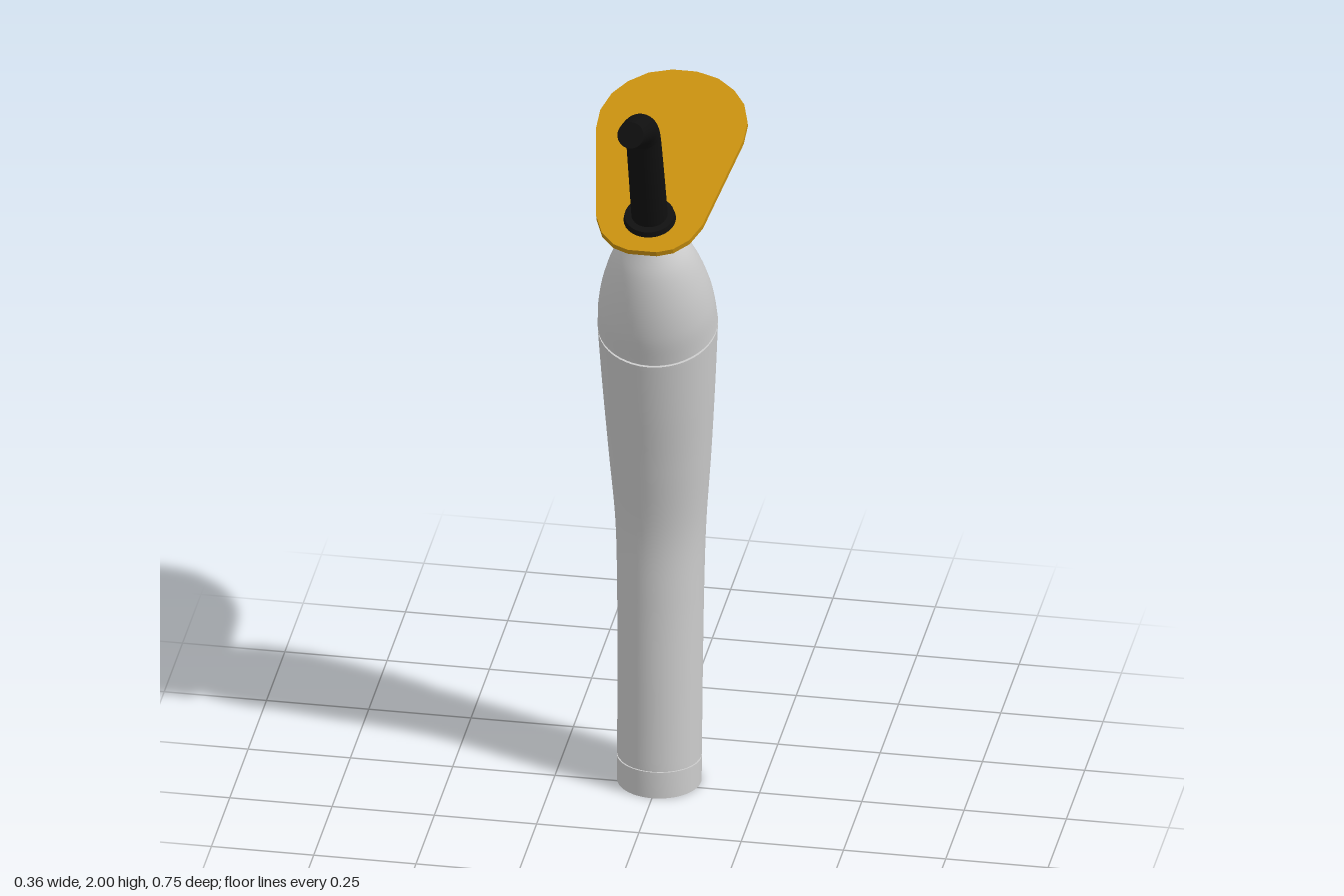
import * as THREE from 'three';

const TILT = 0.309; // lean of the neck, shield and tip towards the front
const SEGS = 48;

const paint = (color) => new THREE.MeshStandardMaterial({ color, roughness: 0.6 });

// A section is [front z, front y, back z, back y, half width]; smooth curves run through them.
function makeSkin(sections) {
  const curve = (k) => new THREE.CatmullRomCurve3(
    sections.map((s) => new THREE.Vector3(s[4], s[k + 1], s[k])), false, 'catmullrom', 0.5);
  const front = curve(0), back = curve(2);
  return {
    backY: (t) => back.getPoint(t).y,
    width: (t) => back.getPoint(t).x,
    center: (t) => front.getPoint(t).add(back.getPoint(t)).multiplyScalar(0.5).setX(0),
    point(t, a) {
      const f = front.getPoint(t), c = this.center(t);
      return new THREE.Vector3(f.x * Math.sin(a),
        c.y + (f.y - c.y) * Math.cos(a), c.z + (f.z - c.z) * Math.cos(a));
    },
  };
}

function makeGeometry(points, index) {
  const g = new THREE.BufferGeometry().setFromPoints(points);
  g.setIndex(index);
  g.computeVertexNormals();
  return g;
}

// Closed solid swept through the sections, with flat end caps.
function loft(skin, rows) {
  const pts = [], idx = [];
  const ring = (t) => {
    for (let j = 0; j < SEGS; j++) pts.push(skin.point(t, (j / SEGS) * Math.PI * 2));
  };
  for (let i = 0; i <= rows; i++) ring(i / rows);
  for (let i = 0; i < rows; i++) {
    for (let j = 0; j < SEGS; j++) {
      const k = (j + 1) % SEGS, a = i * SEGS, b = a + SEGS;
      idx.push(a + j, a + k, b + j, a + k, b + k, b + j);
    }
  }
  for (const t of [0, 1]) {
    const s = pts.length;
    ring(t);
    pts.push(skin.center(t));
    for (let j = 0; j < SEGS; j++) {
      const k = (j + 1) % SEGS;
      idx.push(s + SEGS, s + (t ? j : k), s + (t ? k : j));
    }
  }
  return makeGeometry(pts, idx);
}

// Raised patch that follows the back of a skin; widthAt(u) is its half width, u = 0 bottom to 1 top.
function patch(skin, x0, y0, y1, widthAt, base, height, power) {
  const N = 28, pts = [], idx = [];
  for (let i = 0; i <= N; i++) {
    const u = i / N, y = y0 + (y1 - y0) * u;
    let lo = 0, hi = 1;
    for (let n = 0; n < 24; n++) {
      const mid = (lo + hi) / 2;
      if (skin.backY(mid) < y) lo = mid; else hi = mid;
    }
    const c = skin.center(lo), r = skin.width(lo);
    for (let j = 0; j <= N; j++) {
      const s = (j / N) * 2 - 1;
      const x = x0 - s * widthAt(u);
      const p = skin.point(lo, Math.PI - Math.asin(x / r));
      const edge = Math.max(Math.abs(s), Math.abs(2 * u - 1));
      const out = p.clone().sub(c).setY(0).normalize();
      pts.push(p.addScaledVector(out, base + height * (1 - edge ** power)));
    }
  }
  for (let i = 0; i < N; i++) {
    for (let j = 0; j < N; j++) {
      const a = i * (N + 1) + j, b = a + N + 1;
      idx.push(a, a + 1, b, a + 1, b + 1, b);
    }
  }
  return makeGeometry(pts, idx);
}

// Round section given by centre, lean and radius.
const roundSection = (z, y, a, r) => [
  z + r * Math.cos(a), y - r * Math.sin(a), z - r * Math.cos(a), y + r * Math.sin(a), r];

export function createModel() {
  const model = new THREE.Group();
  const grey = paint(0xcccccc), black = paint(0x101010), amber = paint(0xc8900f);
  const teal = paint(0x86d4dc), tealDark = paint(0x6bb3bb), glass = paint(0x2c2c2c), button = paint(0x686d88);
  const add = (name, geometry, material, parent = model) => {
    const mesh = new THREE.Mesh(geometry, material);
    mesh.name = name;
    parent.add(mesh);
    return mesh;
  };

  // Handle: end cap, long bent grip and domed head, with narrow seams between
  const grip = makeSkin([
    [0.071, 0.075, -0.133, 0.065, 0.102],
    [0.064, 0.3, -0.142, 0.3, 0.103],
    [0.056, 0.52, -0.149, 0.52, 0.105],
    [0.055, 0.7, -0.153, 0.7, 0.11],
    [0.08, 0.89, -0.155, 0.9, 0.124],
    [0.108, 1.06, -0.152, 1.11, 0.136],
    [0.132, 1.21, -0.148, 1.296, 0.145],
  ]);
  add('grip', loft(grip, 60), grey);
  add('endCap', loft(makeSkin([
    [0.073, 0, -0.131, 0, 0.102], [0.072, 0.07, -0.132, 0.06, 0.102]]), 2), grey);
  add('lowerSeam', loft(makeSkin([
    [0.068, 0.06, -0.128, 0.05, 0.098], [0.068, 0.085, -0.128, 0.075, 0.098]]), 1), grey);
  add('upperSeam', loft(makeSkin([
    [0.126, 1.2, -0.142, 1.285, 0.139], [0.128, 1.23, -0.139, 1.312, 0.139]]), 1), grey);
  add('domedHead', loft(makeSkin([
    [0.133, 1.216, -0.148, 1.302, 0.145],
    [0.15, 1.295, -0.123, 1.375, 0.139],
    [0.156, 1.38, -0.084, 1.445, 0.122],
    [0.15, 1.46, -0.033, 1.512, 0.094],
    [0.13, 1.53, 0.034, 1.562, 0.05],
  ]), 32), grey);

  // Control panel on the back
  const panelWidth = (w) => (u) => w * Math.min(1, Math.sqrt(u / 0.42), 0.84 + (1 - u) * 5);
  add('panelRim', patch(grip, 0, 0.8, 1.255, panelWidth(0.082), -0.002, 0.007, 40), teal);
  add('panelFace', patch(grip, 0, 0.815, 1.245, panelWidth(0.072), 0.002, 0.005, 40), tealDark);
  add('screen', patch(grip, 0, 1.05, 1.232, () => 0.054, 0.004, 0.005, 40), glass);
  const disc = (u) => 0.023 * Math.sqrt(Math.max(0, 1 - (2 * u - 1) ** 2));
  for (const side of [-1, 1]) {
    add(side > 0 ? 'leftButton' : 'rightButton',
      patch(grip, side * 0.034, 0.95, 0.996, disc, 0.005, 0.009, 4), button);
  }
  const wedge = (u) => 0.044 * Math.min(u ** 0.6, 2.2 * Math.sqrt(Math.max(0, 1 - u)));
  add('mainButton', patch(grip, 0, 0.83, 0.925, wedge, 0.005, 0.009, 4), button);

  // Neck, collar and light shield share the lean of the tip
  const top = new THREE.Group();
  top.name = 'neckAssembly';
  top.position.set(0, 1.594, 0.1);
  top.rotation.x = TILT;
  model.add(top);
  add('neck', new THREE.CylinderGeometry(0.048, 0.05, 0.07, 32), grey, top).position.y = -0.04;
  add('collar', new THREE.CylinderGeometry(0.06, 0.068, 0.034, 32), black, top).position.y = 0.004;

  // Shield outline: half of it, mirrored
  const half = [[0.03, -0.376], [0.085, -0.36], [0.13, -0.327], [0.162, -0.285], [0.18, -0.23],
    [0.18, -0.172], [0.13, 0.105], [0.107, 0.157], [0.073, 0.19], [0.035, 0.204]]
    .map(([x, z]) => new THREE.Vector2(x, (z - 0.1) / Math.cos(TILT)));
  const mirrored = half.map((p) => new THREE.Vector2(-p.x, p.y)).reverse();
  const shield = new THREE.ExtrudeGeometry(new THREE.Shape([...half, ...mirrored]),
    { depth: 0.014, bevelEnabled: false });
  shield.rotateX(Math.PI / 2).translate(0, 0.007, 0);
  add('lightShield', shield, amber, top);

  // Bent, tapering light guide
  add('lightGuide', loft(makeSkin([
    roundSection(0.1, 1.6, TILT, 0.044),
    roundSection(0.147, 1.745, TILT, 0.043),
    roundSection(0.186, 1.858, 0.36, 0.042),
    roundSection(0.206, 1.892, 0.72, 0.041),
    roundSection(0.24, 1.917, 1.08, 0.039),
    roundSection(0.302, 1.944, 1.17, 0.036),
    roundSection(0.364, 1.968, 1.17, 0.032),
  ]), 40), black);

  return model;
}
